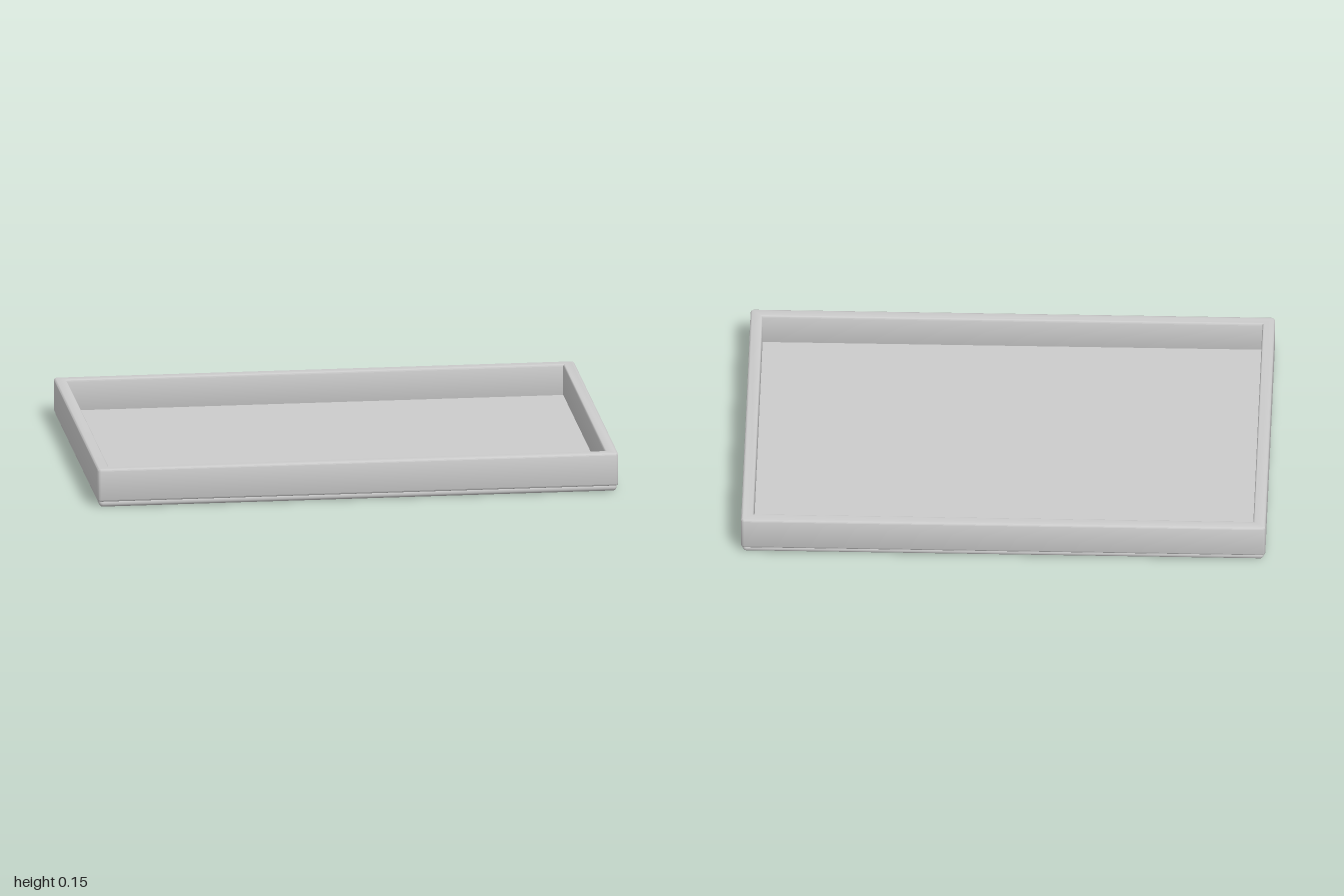
import * as THREE from 'three';
import { RoundedBoxGeometry } from 'three/addons/geometries/RoundedBoxGeometry.js';
import { toCreasedNormals } from 'three/addons/utils/BufferGeometryUtils.js';

// Rectangle with rounded corners, centred on the origin
function roundedRect(target, halfX, halfY, r) {
  target.moveTo(halfX, -halfY + r);
  target.lineTo(halfX, halfY - r);
  target.absarc(halfX - r, halfY - r, r, 0, Math.PI / 2);
  target.lineTo(-halfX + r, halfY);
  target.absarc(-halfX + r, halfY - r, r, Math.PI / 2, Math.PI);
  target.lineTo(-halfX, -halfY + r);
  target.absarc(-halfX + r, -halfY + r, r, Math.PI, Math.PI * 1.5);
  target.lineTo(halfX - r, -halfY);
  target.absarc(halfX - r, -halfY + r, r, Math.PI * 1.5, Math.PI * 2);
  return target;
}

export function createModel() {
  const model = new THREE.Group();
  model.name = 'tray';
  const material = new THREE.MeshStandardMaterial({ color: 0xcccccc });

  // Base panel with softened edges
  const base = new THREE.Mesh(new RoundedBoxGeometry(1.988, 0.03, 1.378, 4, 0.0145), material);
  base.name = 'basePanel';
  base.position.y = 0.015;
  model.add(base);

  // Raised rim: a rounded frame with small bevels top and bottom
  const bottom = 0.022, top = 0.151, bevel = 0.008;
  const outline = roundedRect(new THREE.Shape(), 1, 0.695, 0.015);
  const opening = new THREE.Path();
  opening.moveTo(-0.953, -0.648);
  opening.lineTo(-0.953, 0.648);
  opening.lineTo(0.953, 0.648);
  opening.lineTo(0.953, -0.648);
  opening.closePath();
  outline.holes.push(opening);
  const frame = new THREE.ExtrudeGeometry(outline, {
    depth: top - bottom - 2 * bevel,
    bevelThickness: bevel,
    bevelSize: bevel,
    bevelOffset: -bevel,
    bevelSegments: 3,
    curveSegments: 5,
  });
  frame.rotateX(-Math.PI / 2);
  frame.translate(0, bottom + bevel, 0);
  const rim = new THREE.Mesh(toCreasedNormals(frame, 0.6), material);
  rim.name = 'rim';
  model.add(rim);

  return model;
}
